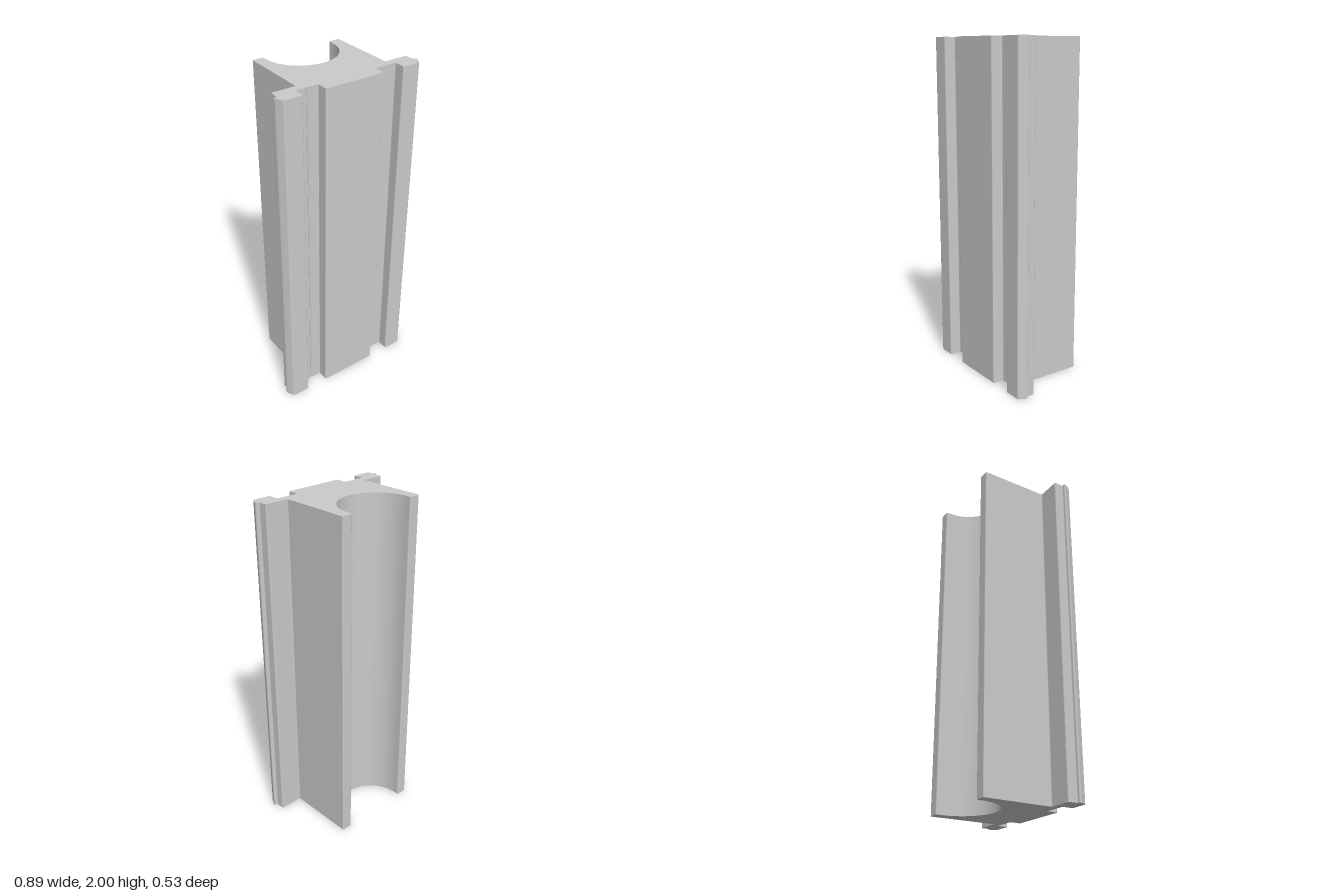
import * as THREE from 'three';
import { toCreasedNormals } from 'three/addons/utils/BufferGeometryUtils.js';

const HEIGHT = 2;

// Replaces each corner [x, z, radius] with a short curve; radius 0 stays sharp
function roundCorners(corners) {
  const out = [];
  corners.forEach(([x, z, r = 0], i) => {
    const p = new THREE.Vector2(x, z);
    if (!r) return out.push(p);
    const toward = (j) => {
      const q = corners[(j + corners.length) % corners.length];
      const d = new THREE.Vector2(q[0], q[1]).sub(p);
      return p.clone().addScaledVector(d.normalize(), r);
    };
    const curve = new THREE.QuadraticBezierCurve(toward(i - 1), p, toward(i + 1));
    out.push(...curve.getPoints(5));
  });
  return out;
}

export function createModel() {
  const group = new THREE.Group();
  group.name = 'extrudedRail';

  const grey = new THREE.MeshStandardMaterial({ color: 0xcacaca });
  grey.name = 'lightGrey';

  // Right half of the cross-section, from the channel mouth round to the front
  const half = [
    [0.215, -0.266, 0.008], // arm tip
    [0.282, -0.266, 0.008],
    [0.282, 0.153, 0.006], // flange
    [0.425, 0.153, 0.009],
    [0.425, 0.209, 0.008], // hooked lip
    [0.445, 0.211, 0.006],
    [0.445, 0.222, 0.005],
    [0.421, 0.266, 0.008],
    [0.313, 0.266, 0.008], // foot
    [0.313, 0.199, 0.006], // groove
    [0.18, 0.199, 0.006],
    [0.18, 0.266, 0.008], // centre block
  ];
  const mirrored = half.map(([x, z, r]) => [-x, z, r]).reverse();

  // Small V mark in the left-hand groove
  const notch = [[-0.238, 0.199], [-0.246, 0.19], [-0.254, 0.199]];
  mirrored.splice(2, 0, ...notch);

  // Half-round channel at the back
  const channel = [];
  for (let i = 0; i <= 60; i++) {
    const a = Math.PI - (i / 60) * Math.PI;
    channel.push([0.215 * Math.cos(a), -0.234 + 0.215 * Math.sin(a)]);
  }

  const outline = roundCorners([...half, ...mirrored, ...channel]);
  const shape = new THREE.Shape(outline.map((p) => new THREE.Vector2(p.x, -p.y)));
  const geometry = new THREE.ExtrudeGeometry(shape, { depth: HEIGHT, bevelEnabled: false });
  geometry.rotateX(-Math.PI / 2);

  // The small crease angle smooths the channel and keeps the flat faces even
  const rail = new THREE.Mesh(toCreasedNormals(geometry, 0.07), grey);
  rail.name = 'railProfile';
  group.add(rail);
  return group;
}
